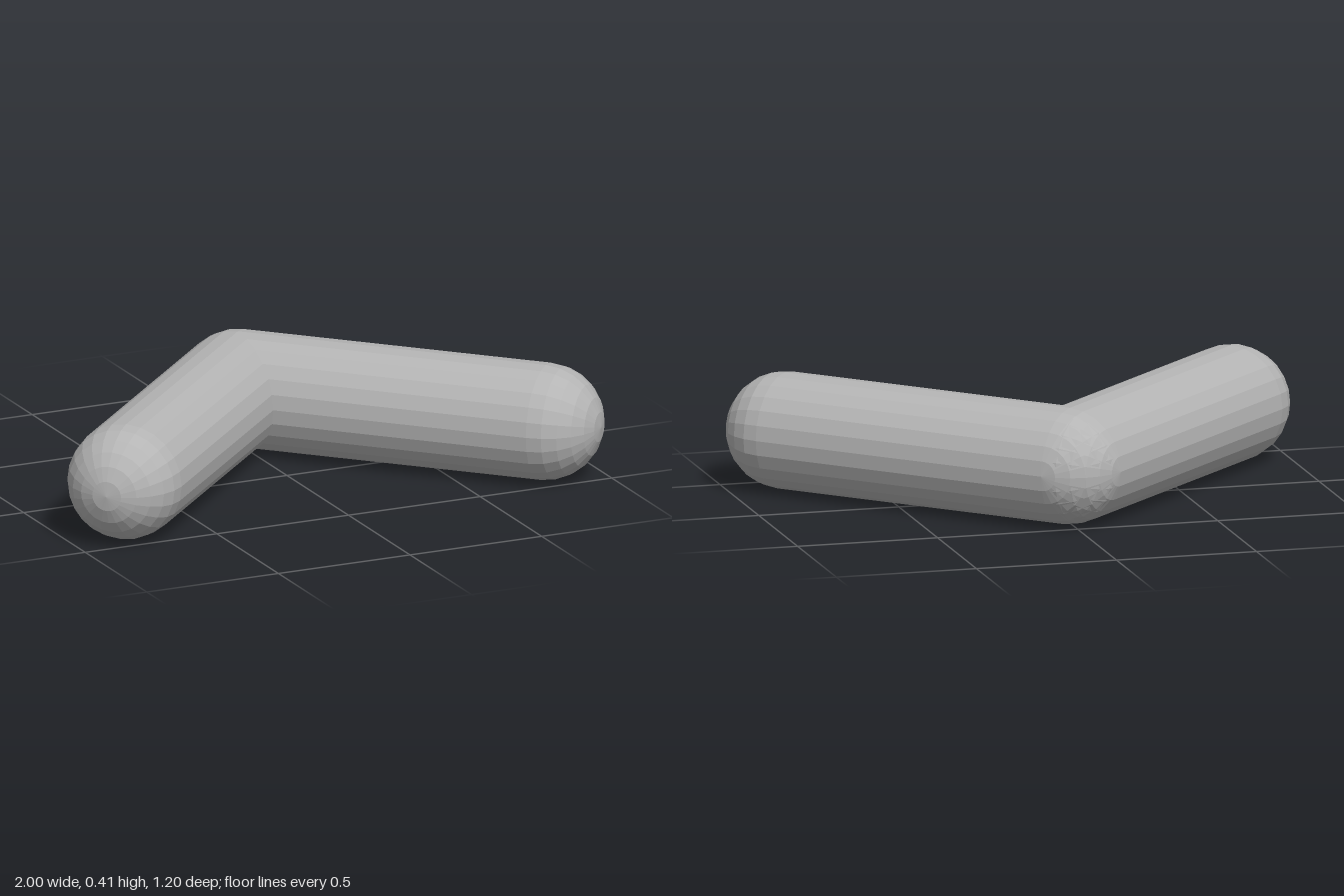
import * as THREE from 'three';

export function createModel() {
  const model = new THREE.Group();
  model.name = 'chevron';
  const grey = new THREE.MeshStandardMaterial({ color: 0xb4b4b4, flatShading: true });
  grey.name = 'grey';

  const radius = 0.203;
  const reach = 1 - radius; // sideways and front-to-back run of each arm

  // Two rounded bars meeting at a right angle at the back
  for (const side of [-1, 1]) {
    const geometry = new THREE.CapsuleGeometry(radius, reach * Math.SQRT2, 6, 24);
    const arm = new THREE.Mesh(geometry, grey);
    arm.name = side > 0 ? 'leftArm' : 'rightArm';
    const direction = new THREE.Vector3(side, 0, 1).normalize();
    arm.quaternion.setFromUnitVectors(new THREE.Vector3(0, 1, 0), direction);
    arm.position.set(side * reach / 2, radius, 0);
    model.add(arm);
  }
  return model;
}
